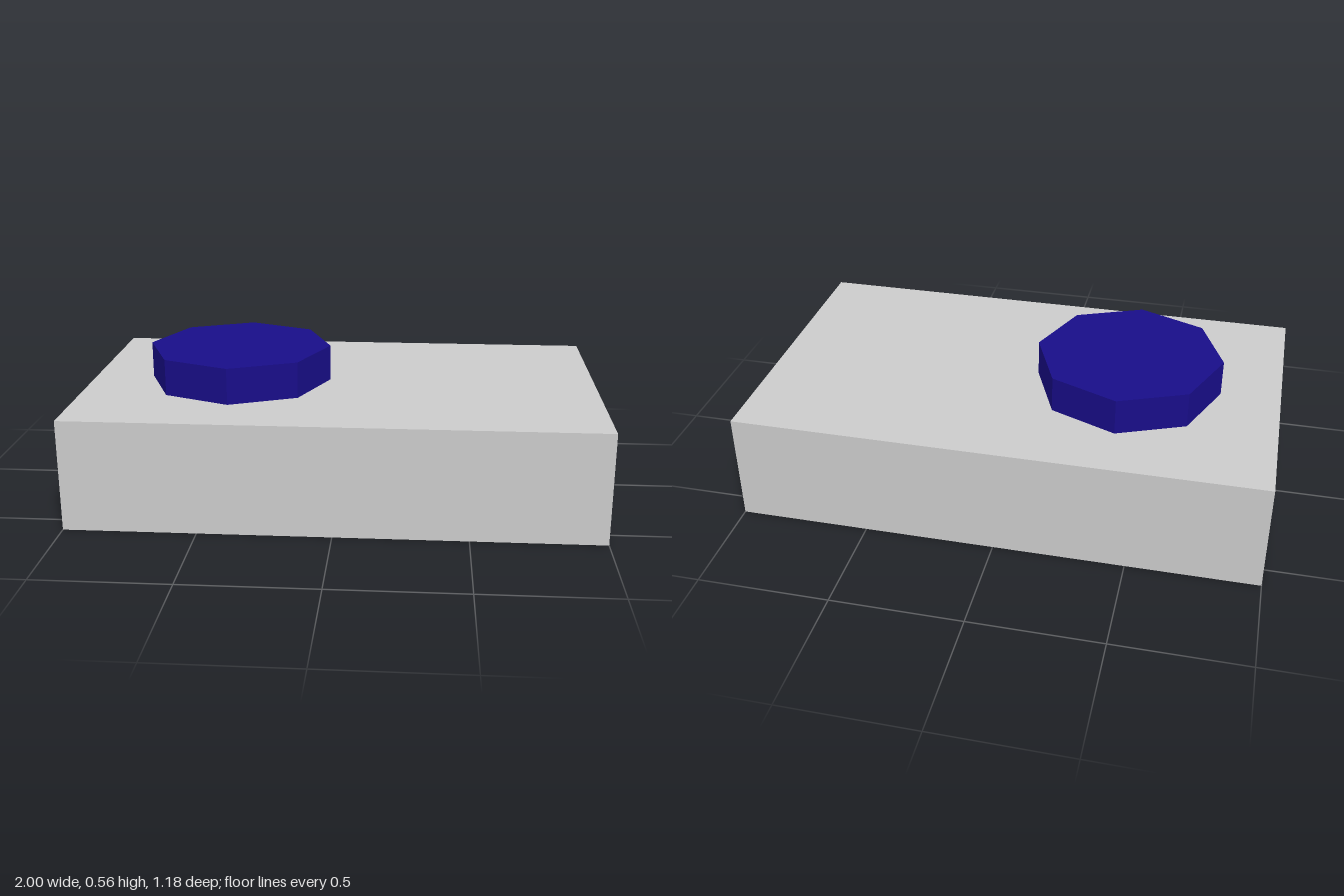
import * as THREE from 'three';

// Faceted solid: a profile of [radius, height] points swept round a few sides
function facetedSolid(name, profile, sides, startAngle, color) {
  const points = profile.map(([r, y]) => new THREE.Vector2(r, y));
  const geometry = new THREE.LatheGeometry(points, sides, startAngle).toNonIndexed();
  geometry.computeVertexNormals();
  const mesh = new THREE.Mesh(geometry, new THREE.MeshStandardMaterial({ color, flatShading: true }));
  mesh.name = name;
  return mesh;
}

export function createModel() {
  const model = new THREE.Group();
  model.name = 'buttonBox';

  const height = 0.425, halfDepth = 0.59;
  const corner = Math.SQRT2;   // corner radius of a square with half side 1
  const inset = 0.915 * corner;

  // Rectangular housing with a shallow recess in its underside
  const housing = facetedSolid('housing', [
    [0, 0.02], [inset, 0.02], [inset, 0],
    [corner, 0], [corner, height], [0, height],
  ], 4, Math.PI / 4, 0xcccccc);
  housing.geometry.scale(1, 1, halfDepth);
  housing.geometry.computeVertexNormals();
  model.add(housing);

  // Octagonal button towards one end of the top
  const button = facetedSolid('button', [
    [0, 0], [0.36, 0], [0.36, 0.14], [0, 0.14],
  ], 8, 0, 0x180d88);
  button.position.set(-0.41, height, 0);
  model.add(button);

  return model;
}
